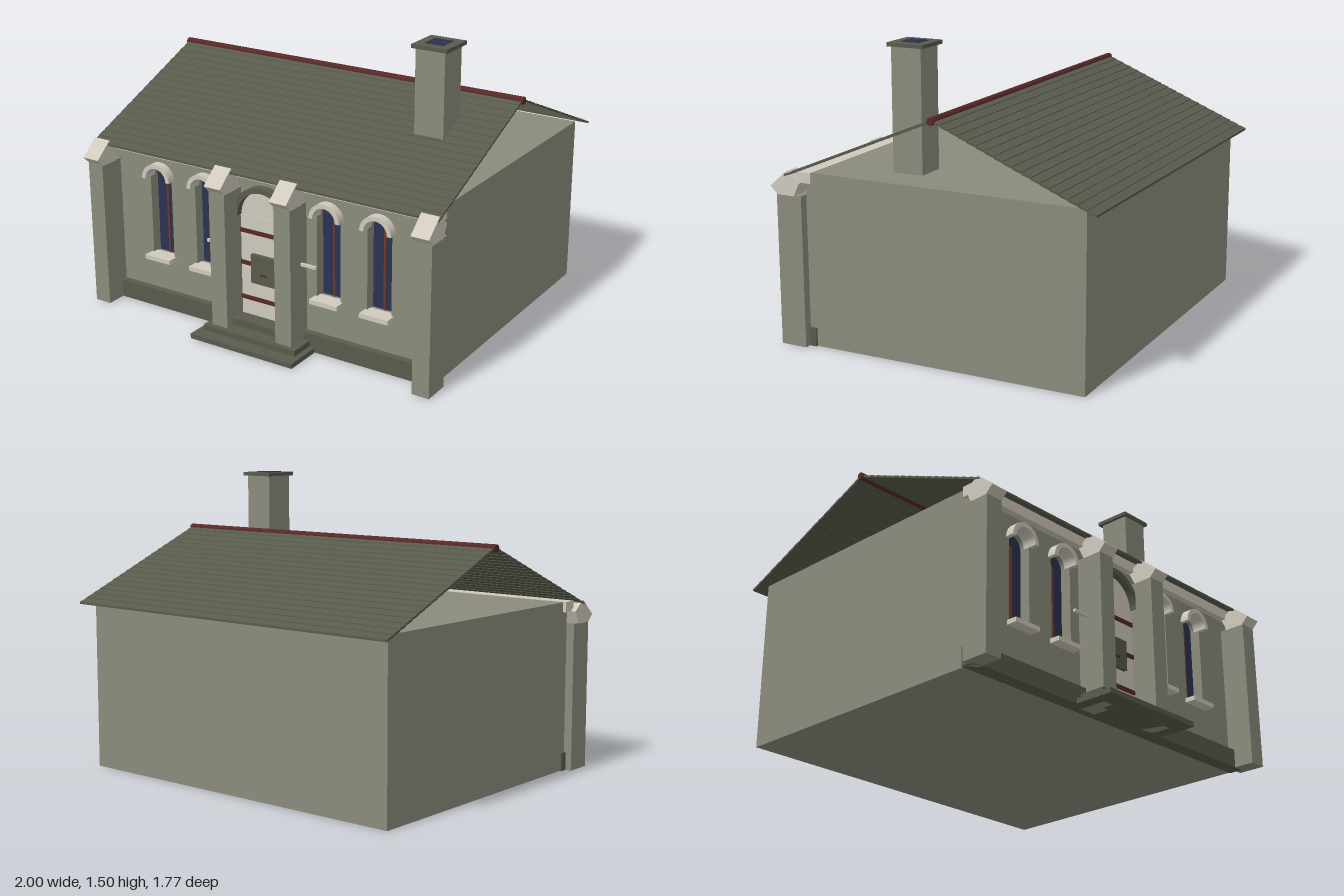
import * as THREE from 'three';

const mat = (name, color) => {
  const m = new THREE.MeshStandardMaterial({ color });
  m.name = name;
  return m;
};

export function createModel() {
  const house = new THREE.Group();
  house.name = 'house';
  const stone = mat('wall stone', 0x8a8c7c);
  const slate = mat('dark slate', 0x585b4c);
  const pale = mat('pale stone', 0xd0cabd);
  const red = mat('dark red', 0x582827);
  const rust = mat('rust brown', 0x673a2e);
  const navy = mat('navy glass', 0x2b3250);

  const add = (name, geo, material, parent = house) => {
    const mesh = new THREE.Mesh(geo, material);
    mesh.name = name;
    parent.add(mesh);
    return mesh;
  };
  // Box given by its limits on each axis
  const box = (name, m, x0, x1, y0, y1, z0, z1, parent) => {
    const g = new THREE.BoxGeometry(x1 - x0, y1 - y0, z1 - z0);
    g.translate((x0 + x1) / 2, (y0 + y1) / 2, (z0 + z1) / 2);
    return add(name, g, m, parent);
  };
  // Side profile of [z, y] points, extruded along x
  const alongX = (pts, x0, x1) => {
    const shape = new THREE.Shape(pts.map(p => new THREE.Vector2(...p)));
    const g = new THREE.ExtrudeGeometry(shape, { depth: x1 - x0, bevelEnabled: false });
    return g.rotateY(-Math.PI / 2).translate(x1, 0, 0);
  };
  // Front outline extruded along z
  const alongZ = (shape, z0, z1) =>
    new THREE.ExtrudeGeometry(shape, { depth: z1 - z0, bevelEnabled: false, curveSegments: 14 }).translate(0, 0, z0);
  // Round-headed opening
  const arched = (Type, x, r, y0, spring) => {
    const s = new Type();
    s.moveTo(x - r, y0);
    s.lineTo(x + r, y0);
    s.lineTo(x + r, spring);
    s.absarc(x, spring, r, 0, Math.PI, false);
    s.closePath();
    return s;
  };
  // Half ring
  const archRing = (x, y, inner, outer) => {
    const s = new THREE.Shape();
    s.moveTo(x + inner, y);
    s.lineTo(x + outer, y);
    s.absarc(x, y, outer, 0, Math.PI, false);
    s.lineTo(x - inner, y);
    s.absarc(x, y, inner, Math.PI, 0, true);
    return s;
  };

  // Body and front wall pierced by the windows
  const windowXs = [-0.64, -0.36, 0.36, 0.64];
  const side = 0.947;
  box('body', stone, -side, side, 0, 0.87, -0.82, 0.59);
  const front = new THREE.Shape([[-side, 0], [side, 0], [side, 0.87], [-side, 0.87]].map(p => new THREE.Vector2(...p)));
  for (const x of windowXs) front.holes.push(arched(THREE.Path, x, 0.066, 0.28, 0.7));
  add('frontWall', alongZ(front, 0.59, 0.65), stone);
  box('cornice', pale, -0.965, 0.965, 0.82, 0.873, 0.612, 0.685);
  box('plinth', slate, -0.957, 0.957, 0, 0.093, 0.612, 0.685);

  // Windows
  for (const x of windowXs) {
    const win = new THREE.Group();
    win.name = 'window';
    house.add(win);
    add('glass', alongZ(arched(THREE.Shape, x, 0.067, 0.278, 0.7), 0.59, 0.595), navy, win);
    box('mullion', rust, x - 0.006, x + 0.006, 0.28, 0.7, 0.595, 0.602, win);
    add('windowArch', alongZ(archRing(x, 0.7, 0.063, 0.085), 0.62, 0.695), pale, win);
    box('sill', pale, x - 0.078, x + 0.078, 0.263, 0.286, 0.62, 0.705, win);
  }

  // Door with arched head
  const door = new THREE.Group();
  door.name = 'door';
  house.add(door);
  box('doorPanel', pale, -0.142, 0.142, 0.06, 0.62, 0.64, 0.66, door);
  add('doorHead', alongZ(arched(THREE.Shape, 0, 0.142, 0.6, 0.62), 0.64, 0.656), pale, door);
  for (const y of [0.185, 0.37, 0.54]) box('doorBand', red, -0.142, 0.142, y - 0.01, y + 0.01, 0.658, 0.668, door);
  box('doorPlate', slate, -0.073, 0.073, 0.277, 0.428, 0.66, 0.68, door);
  box('plateSlot', red, -0.018, 0.018, 0.325, 0.334, 0.678, 0.684, door);
  add('doorArch', alongZ(archRing(0, 0.62, 0.14, 0.168), 0.64, 0.69), slate, door);

  // Steps
  box('lowerStep', slate, -0.3, 0.3, 0, 0.025, 0.65, 0.884);
  box('middleStep', slate, -0.27, 0.27, 0.025, 0.055, 0.65, 0.815);
  box('upperStep', slate, -0.142, 0.142, 0.055, 0.093, 0.65, 0.74);

  // Buttresses with sloped caps, and short rails beside the door
  const cap = [[0.824, 0.795], [0.73, 0.876], [0.66, 0.822], [0.69, 0.757], [0.785, 0.757]];
  for (const [x0, x1] of [[-0.99, -0.9], [-0.235, -0.143], [0.143, 0.235], [0.9, 0.99]]) {
    box('buttress', stone, x0, x1, 0, 0.76, 0.651, 0.79);
    add('buttressCap', alongX(cap, x0 - 0.002, x1 + 0.002), pale);
  }
  for (const [x0, x1] of [[-0.32, -0.23], [0.23, 0.32]]) box('rail', pale, x0, x1, 0.448, 0.462, 0.69, 0.704);

  // Two roof slopes of overlapping courses, profile measured from the ridge
  const rows = 18, run = 0.815, drop = 0.342, lip = 0.0035, thick = 0.011;
  const upper = [], lower = [];
  for (let i = 0; i < rows; i++) {
    const a = i / rows, b = (i + 1) / rows;
    upper.push([run * a, -drop * a], [run * b, -drop * b + lip]);
    lower.push([run * a, -drop * a - thick], [run * b, -drop * b - thick + lip]);
  }
  const profile = [...lower, ...upper.reverse()];
  for (const turn of [0, Math.PI]) {
    const slope = add('roofSlope', alongX(profile, -0.993, 0.993), slate);
    slope.position.set(0, 1.2, -0.072);
    slope.rotation.y = turn;
  }
  const ridge = new THREE.CylinderGeometry(0.019, 0.019, 2, 10).rotateZ(Math.PI / 2);
  add('ridge', ridge, red).position.set(0, 1.194, -0.07);

  // Chimney
  box('chimney', stone, 0.6, 0.756, 0.87, 1.478, 0.117, 0.277);
  box('chimneyCap', slate, 0.583, 0.772, 1.476, 1.495, 0.098, 0.29);
  box('flue', navy, 0.63, 0.726, 1.49, 1.498, 0.145, 0.243);

  return house;
}
